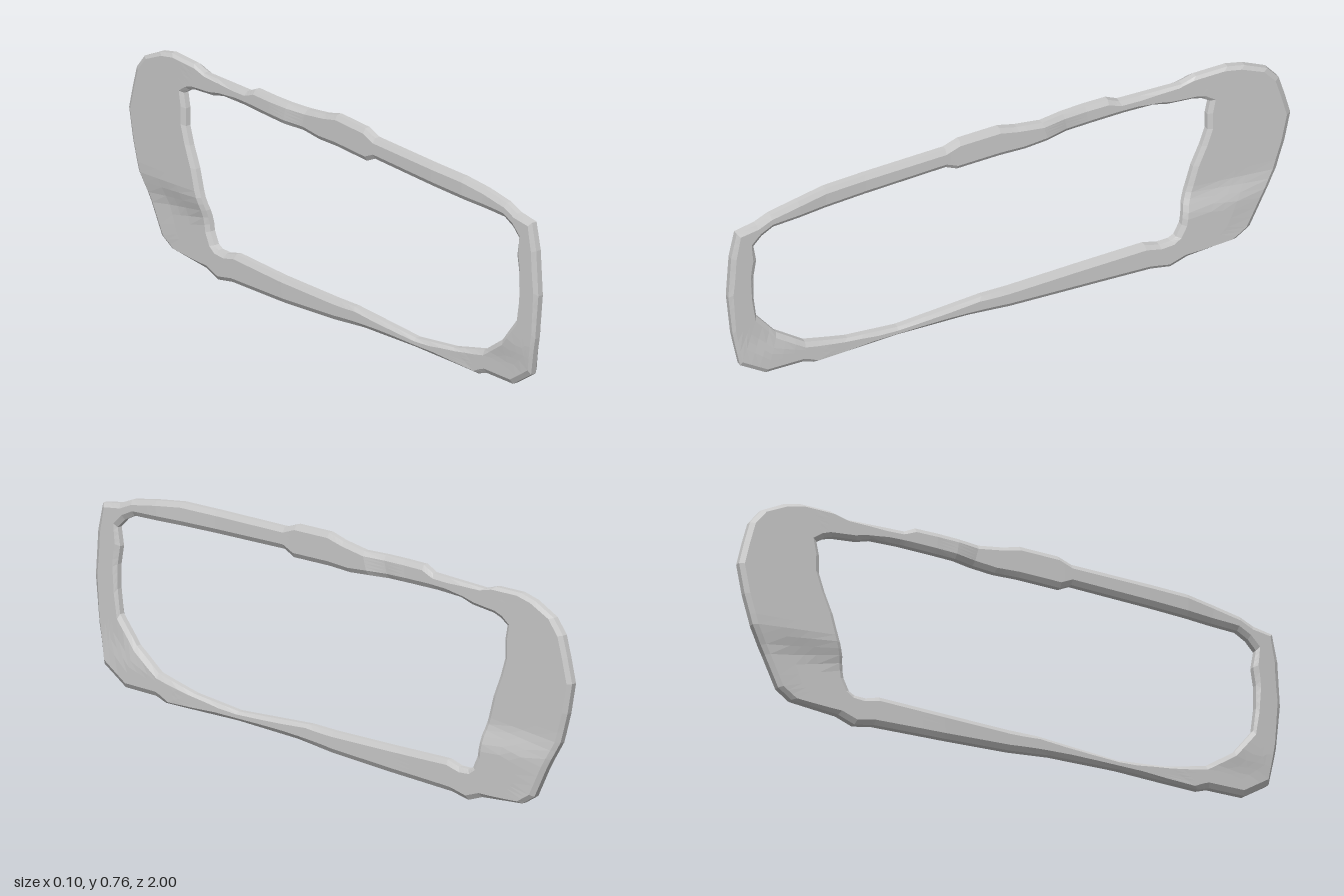
import * as THREE from 'three';

// Outline stations as z, y pairs: over the top, down the rear, back along the bottom, up the front
const OUTER = [
  0.97, 0.69, 0.90, 0.70, 0.85, 0.72, 0.75, 0.735, 0.65, 0.745, 0.22, 0.74, 0.17, 0.757,
  0.03, 0.757, -0.03, 0.74, -0.12, 0.725, -0.36, 0.72, -0.40, 0.70, -0.62, 0.69, -0.67, 0.705,
  -0.78, 0.705, -0.84, 0.69, -0.92, 0.65, -0.96, 0.60, -0.98, 0.53, -1, 0.45, -0.98, 0.35,
  -0.95, 0.25, -0.90, 0.16, -0.85, 0.06, -0.80, 0.03, -0.63, 0.02, -0.57, 0, -0.50, 0.015,
  -0.24, 0.03, 0, 0.05, 0.15, 0.07, 0.40, 0.085, 0.70, 0.09, 0.74, 0.105, 0.87, 0.11,
  0.96, 0.17, 0.985, 0.30, 1, 0.45, 0.99, 0.60,
];
const INNER = [
  0.91, 0.62, 0.88, 0.65, 0.84, 0.67, 0.74, 0.67, 0.65, 0.67, 0.22, 0.67, 0.18, 0.65,
  0.03, 0.65, -0.06, 0.645, -0.14, 0.65, -0.36, 0.65, -0.42, 0.65, -0.52, 0.645, -0.57, 0.63,
  -0.66, 0.62, -0.69, 0.61, -0.72, 0.59, -0.71, 0.54, -0.71, 0.48, -0.69, 0.42, -0.66, 0.35,
  -0.64, 0.28, -0.62, 0.22, -0.61, 0.15, -0.59, 0.11, -0.57, 0.10, -0.53, 0.10, -0.48, 0.115,
  -0.25, 0.115, 0, 0.12, 0.10, 0.125, 0.40, 0.115, 0.58, 0.14, 0.73, 0.18, 0.83, 0.25,
  0.90, 0.34, 0.91, 0.42, 0.91, 0.50, 0.90, 0.56,
];
const COUNT = OUTER.length / 2;

// Sideways position of the band along its length, for the upper and lower halves
const UPPER = [[-1, -0.03], [-0.7, -0.032], [-0.22, -0.03], [-0.15, -0.012], [0.2, -0.01], [0.6, 0], [0.75, 0.015], [1, 0.027]];
const LOWER = [[-1, -0.025], [-0.8, -0.014], [-0.25, -0.01], [0, 0], [0.4, 0.012], [0.65, 0.024], [1, 0.03]];

function sample(table, z) {
  let i = 0;
  while (i < table.length - 2 && z > table[i + 1][0]) i++;
  const [a, b] = [table[i], table[i + 1]];
  const t = THREE.MathUtils.clamp((z - a[0]) / (b[0] - a[0]), 0, 1);
  return THREE.MathUtils.lerp(a[1], b[1], t);
}

function centreX(z, y) {
  return THREE.MathUtils.lerp(sample(LOWER, z), sample(UPPER, z), THREE.MathUtils.smoothstep(y, 0.17, 0.27));
}

function stationPoint(list, s) {
  const i = Math.floor(s) % COUNT, j = (i + 1) % COUNT, t = s - Math.floor(s);
  return new THREE.Vector2(
    THREE.MathUtils.lerp(list[2 * i], list[2 * j], t),
    THREE.MathUtils.lerp(list[2 * i + 1], list[2 * j + 1], t));
}

// Chamfered section running from the outer edge to the opening and back
function section(s) {
  const o = stationPoint(OUTER, s), n = stationPoint(INNER, s);
  const bevel = Math.min(0.016 / o.distanceTo(n), 0.3);
  const across = [0, bevel, 0.35, 0.5, 0.65, 1 - bevel, 1];
  const side = (sign) => across.map((u, k) => {
    const p = o.clone().lerp(n, u);
    const half = k === 0 || k === 6 ? 0.009 : 0.018;
    return [centreX(p.x, p.y) + sign * half, p.y, p.x];
  });
  return [...side(1), ...side(-1).reverse()];
}

// Skin the sections between two stations
function band(name, from, to, material) {
  const steps = (to - from) * 3;
  const positions = [], index = [];
  let ring = 0;
  for (let i = 0; i <= steps; i++) {
    const points = section(from + i / 3);
    ring = points.length;
    positions.push(...points.flat());
  }
  for (let i = 0; i < steps; i++) {
    for (let j = 0; j < ring; j++) {
      const a = i * ring + j, b = i * ring + (j + 1) % ring;
      index.push(a, b, b + ring, a, b + ring, a + ring);
    }
  }
  const geometry = new THREE.BufferGeometry();
  geometry.setAttribute('position', new THREE.Float32BufferAttribute(positions, 3));
  geometry.setIndex(index);
  geometry.computeVertexNormals();
  const mesh = new THREE.Mesh(geometry, material);
  mesh.name = name;
  return mesh;
}

export function createModel() {
  const group = new THREE.Group();
  group.name = 'loopFrame';
  const material = new THREE.MeshStandardMaterial({ color: 0xcccccc, flatShading: true });
  group.add(
    band('topRail', 2, 14, material),
    band('rearPanel', 14, 25, material),
    band('bottomRail', 25, 33, material),
    band('frontEnd', 33, COUNT + 2, material),
  );
  return group;
}
